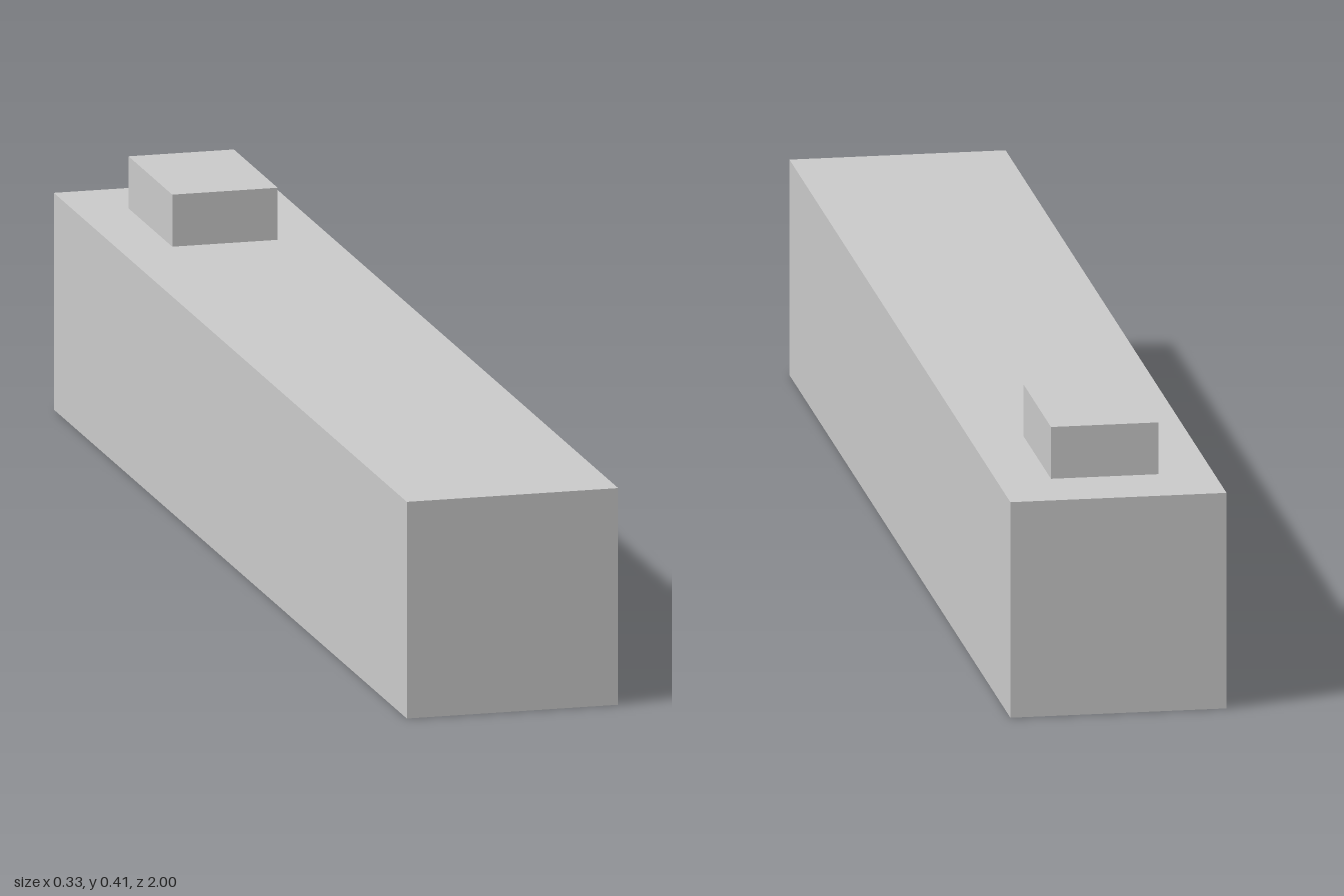
import * as THREE from 'three';

export function createModel() {
  const group = new THREE.Group();
  const material = new THREE.MeshStandardMaterial({ color: 0xcccccc, flatShading: true });

  // Box resting with its underside at the given height
  const addBox = (name, width, height, depth, bottom, z) => {
    const mesh = new THREE.Mesh(new THREE.BoxGeometry(width, height, depth), material);
    mesh.name = name;
    mesh.position.set(0, bottom + height / 2, z);
    group.add(mesh);
  };

  const bodyHeight = 0.333;
  // Long beam
  addBox('body', 0.327, bodyHeight, 2, 0, 0);
  // Small raised block near the back end
  addBox('topBlock', 0.163, 0.08, 0.248, bodyHeight, -0.753);

  return group;
}
